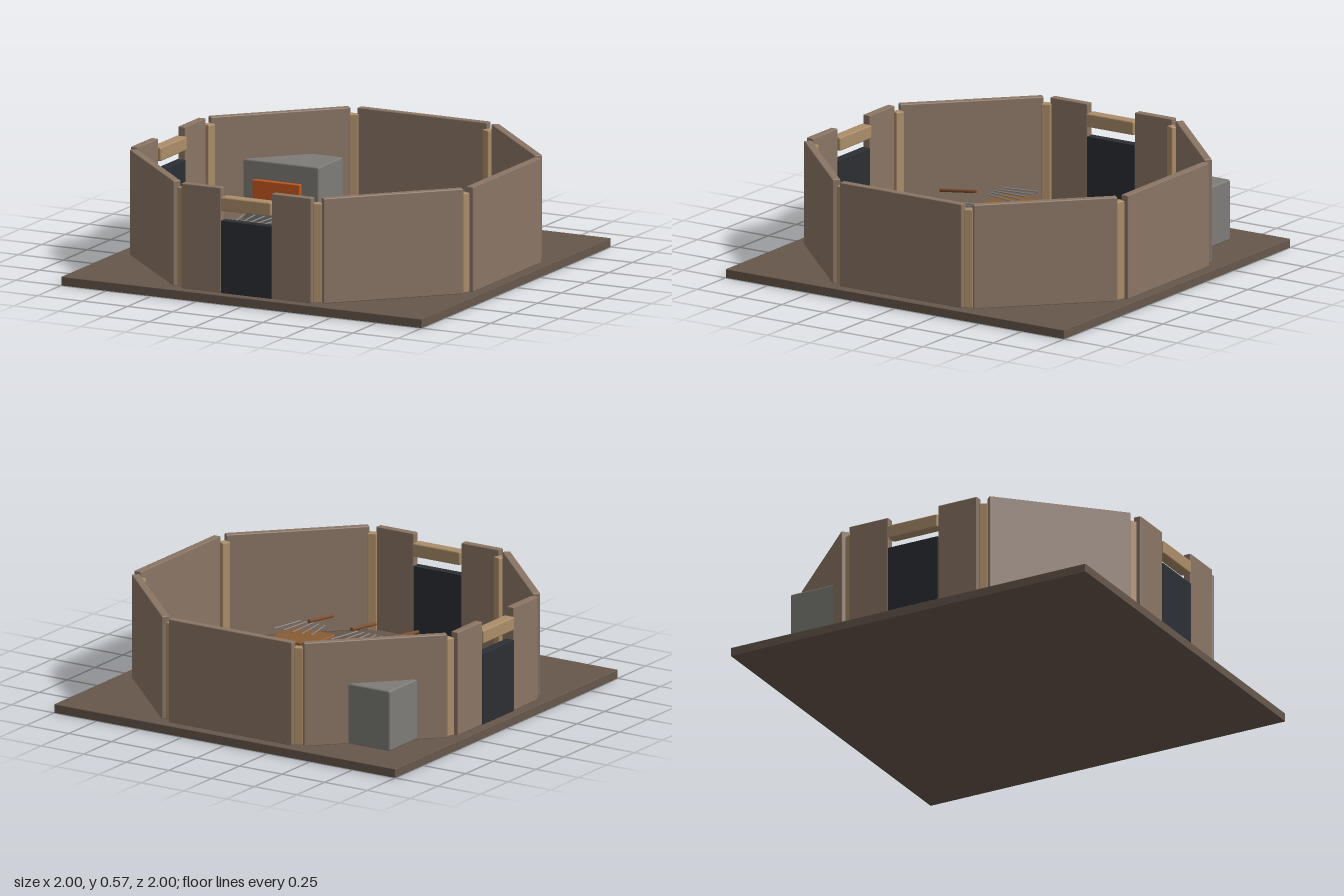
import * as THREE from 'three';
import { RoundedBoxGeometry } from 'three/addons/geometries/RoundedBoxGeometry.js';

const FLOOR = 0.045;
const mat = (color) => new THREE.MeshStandardMaterial({ color });
const mats = {
  floor: mat(0x66574b), wall: mat(0x8a7565), timber: mat(0xab8d69), door: mat(0x2b2e33),
  stone: mat(0x7d7c77), ember: mat(0xc8591f), iron: mat(0x6c7779), crate: mat(0x8a5c33),
  rod: mat(0x858585), handle: mat(0x7d5030),
};

// Softly bevelled box, placed by its centre in x and z and by its bottom in y
function block(parent, name, material, [w, h, d], [x, bottom, z], bevel = 0.005) {
  const mesh = new THREE.Mesh(new RoundedBoxGeometry(w, h, d, 1, bevel), material);
  mesh.name = name;
  mesh.position.set(x, bottom + h / 2, z);
  parent.add(mesh);
  return mesh;
}

function group(parent, name) {
  const g = new THREE.Group();
  g.name = name;
  parent.add(g);
  return g;
}

// One side of the eight-sided enclosure, built facing +z
function wallSide(parent, hasDoor) {
  const side = group(parent, hasDoor ? 'doorwaySide' : 'wallSide');
  const r = 0.93;
  if (hasDoor) {
    for (const s of [-1, 1]) block(side, 'doorwayWall', mats.wall, [0.22, 0.53, 0.04], [s * 0.25, FLOOR, r]);
    block(side, 'door', mats.door, [0.28, 0.365, 0.045], [0, FLOOR, r], 0.002);
    block(side, 'lintel', mats.timber, [0.28, 0.07, 0.06], [0, 0.46, r - 0.003], 0.008);
  } else {
    block(side, 'wall', mats.wall, [0.72, 0.53, 0.04], [0, FLOOR, r]);
  }
  return side;
}

export function createModel() {
  const model = new THREE.Group();
  model.name = 'walledWorkshop';

  block(model, 'floor', mats.floor, [2, FLOOR, 2], [0, 0, 0], 0.003);

  // Ring of walls with a corner post after each side
  const enclosure = group(model, 'enclosure');
  for (let k = 0; k < 8; k++) {
    wallSide(enclosure, k === 0 || k === 6).rotation.y = k * Math.PI / 4;
    const a = (k + 0.5) * Math.PI / 4;
    const post = block(enclosure, 'cornerPost', mats.timber, [0.045, 0.5, 0.045],
      [0.975 * Math.sin(a), FLOOR, 0.975 * Math.cos(a)], 0.004);
    post.rotation.y = a;
  }

  // Furnace poking through the rear corner wall
  const furnace = group(model, 'furnace');
  block(furnace, 'furnaceBody', mats.stone, [0.455, 0.31, 0.26], [-0.59, FLOOR, -0.638], 0.009);
  block(furnace, 'furnaceMouth', mats.ember, [0.265, 0.16, 0.03], [-0.59, 0.1, -0.503], 0.005);

  // Anvil
  const anvil = group(model, 'anvil');
  block(anvil, 'anvilBase', mats.iron, [0.07, 0.08, 0.06], [-0.247, FLOOR, -0.315]);
  block(anvil, 'anvilTop', mats.iron, [0.175, 0.04, 0.068], [-0.247, 0.12, -0.315], 0.007);

  // Crates with a fan of metal rods on each
  const rodGeometry = new THREE.CylinderGeometry(0.004, 0.004, 0.185, 8).rotateX(Math.PI / 2);
  for (const x of [-0.335, 0, 0.333]) {
    const crate = group(model, 'crateWithRods');
    crate.position.set(x, 0, 0.21);
    block(crate, 'crate', mats.crate, [0.25, 0.155, 0.22], [0, FLOOR, 0], 0.01);
    for (let i = -2; i <= 2; i++) {
      const rod = new THREE.Mesh(rodGeometry, mats.rod);
      rod.name = 'metalRod';
      rod.position.set(i * 0.045, 0.24, 0);
      rod.rotation.y = -i * 0.1;
      crate.add(rod);
    }
  }

  // Row of wooden handles, dipping slightly toward the front
  const handleGeometry = new THREE.CylinderGeometry(0.009, 0.009, 0.215, 12).rotateX(Math.PI / 2);
  for (let i = -2; i <= 2; i++) {
    const handle = new THREE.Mesh(handleGeometry, mats.handle);
    handle.name = 'woodenHandle';
    handle.position.set(i * 0.25, 0.152, 0.628);
    handle.rotation.x = 0.12;
    model.add(handle);
  }

  return model;
}
